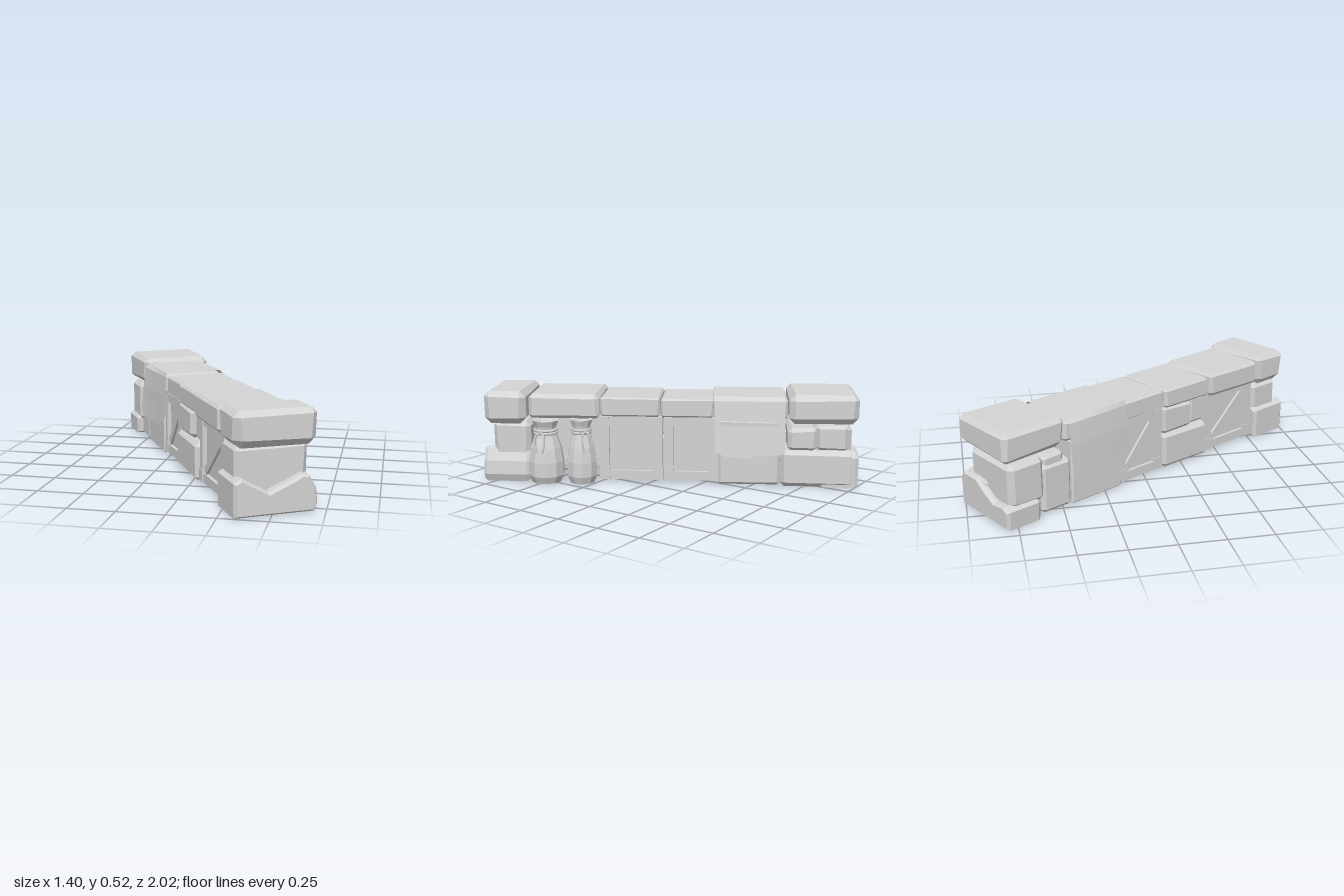
import * as THREE from 'three';
import { ConvexGeometry } from 'three/addons/geometries/ConvexGeometry.js';

export function createModel() {
  const model = new THREE.Group();
  model.name = 'barricade';
  // The wall runs along its own z axis and stands turned by 30 degrees
  const wall = new THREE.Group();
  wall.name = 'wall';
  wall.rotation.y = Math.PI / 6;
  model.add(wall);

  const stone = new THREE.MeshStandardMaterial({ color: 0xd4d4d4, side: THREE.DoubleSide });
  stone.name = 'pale grey';

  let seed = 7;
  const rand = () => {
    seed = (seed * 16807) % 2147483647;
    return seed / 2147483647 - 0.5;
  };
  const add = (name, geometry, parent = wall) => {
    const mesh = new THREE.Mesh(geometry, stone);
    mesh.name = name;
    parent.add(mesh);
    return mesh;
  };
  const faceted = (geometry) => {
    const g = geometry.index ? geometry.toNonIndexed() : geometry;
    g.computeVertexNormals();
    return g;
  };

  // Hewn block with chamfered, slightly uneven corners
  function block(name, [x0, x1], [y0, y1], [z0, z1], c = 0.02, rough = 0.012) {
    const points = [];
    for (const sx of [0, 1]) for (const sy of [0, 1]) for (const sz of [0, 1]) {
      const corner = [sx ? x1 : x0, sy ? y1 : y0, sz ? z1 : z0];
      const inward = [sx ? -1 : 1, sy ? -1 : 1, sz ? -1 : 1];
      const cut = c + rand() * rough;
      for (let face = 0; face < 3; face++) {
        points.push(new THREE.Vector3(...corner.map((v, i) => v + (i === face ? 0 : inward[i] * cut))));
      }
    }
    return add(name, new ConvexGeometry(points));
  }

  // Coping stones along the top
  block('farCap', [-0.2, 0.222], [0.36, 0.522], [-1.045, -0.665], 0.03, 0.02);
  block('copingUnderCloth', [-0.18, 0.165], [0.37, 0.488], [-0.66, -0.25], 0.015);
  block('copingMiddleFar', [-0.17, 0.17], [0.375, 0.483], [-0.25, 0.045], 0.01);
  block('copingMiddleNear', [-0.188, 0.168], [0.375, 0.487], [0.05, 0.385], 0.01);
  block('copingNear', [-0.208, 0.175], [0.365, 0.502], [0.39, 0.79], 0.02);
  block('nearCap', [-0.21, 0.216], [0.335, 0.52], [0.8, 1.035], 0.035, 0.025);

  // Weathered boulder: an uneven outline across the wall, extruded along it
  function boulder(name, outline, z0, z1) {
    const shape = new THREE.Shape(outline.map(([x, y]) => new THREE.Vector2(x, y)));
    const geometry = new THREE.ExtrudeGeometry(shape, {
      depth: z1 - z0 - 0.036, bevelEnabled: true, bevelSize: 0.012, bevelThickness: 0.018, bevelSegments: 1,
    });
    geometry.translate(0, 0, z0 + 0.018);
    add(name, faceted(geometry));
  }

  // Near end pillar: a boulder with a sagging top and a stone above it
  boulder('nearBoulder', [[-0.2, 0.018], [0.195, 0.018], [0.208, 0.05], [0.2, 0.12], [0.165, 0.18], [0.14, 0.186],
    [0.1, 0.165], [-0.035, 0.108], [-0.145, 0.17], [-0.175, 0.188], [-0.202, 0.17]], 0.785, 1.045);
  block('nearMiddleStone', [-0.19, 0.185], [0.1, 0.345], [0.78, 0.99], 0.025);

  // Far end pillar: a sloping foot with smaller stones above
  boulder('farFootEnd', [[-0.195, 0.018], [0.2, 0.018], [0.205, 0.17], [0.18, 0.195], [0.07, 0.195],
    [0.0, 0.15], [-0.08, 0.108], [-0.17, 0.118], [-0.198, 0.1]], -1.05, -0.84);
  block('farFootBack', [0.0, 0.218], [0.005, 0.21], [-1.03, -0.62], 0.025);
  block('farEndStone', [-0.195, 0.165], [0.1, 0.345], [-1.015, -0.8], 0.025);
  block('farInnerStone', [-0.17, 0.0], [0.02, 0.33], [-0.8, -0.66], 0.02);
  block('farBackStoneA', [0.0, 0.185], [0.205, 0.345], [-0.99, -0.82], 0.02);
  block('farBackStoneB', [0.0, 0.2], [0.205, 0.335], [-0.82, -0.66], 0.02);
  block('farPlinth', [-0.183, -0.01], [0.01, 0.28], [-0.81, -0.62], 0.015);

  // Stones inside the wall; the stack only faces the front
  block('stoneUnderCloth', [-0.185, 0.2], [0.01, 0.375], [-0.62, -0.28], 0.012);
  block('stackLower', [-0.195, -0.08], [0.015, 0.22], [0.035, 0.385], 0.018);
  block('stackUpperFar', [-0.185, -0.08], [0.22, 0.38], [0.04, 0.27], 0.018);
  block('stackUpperNear', [-0.16, -0.08], [0.22, 0.38], [0.27, 0.385], 0.018);

  // Framed panel with a diagonal brace, framed inside too; side is +1 or -1 along x
  function panel(name, side, z0, z1) {
    const group = new THREE.Group();
    group.name = name;
    wall.add(group);
    const y0 = 0.02, y1 = 0.38, w = 0.05, zc = (z0 + z1) / 2;
    const piece = (part, x, t, h, d, y, z) => {
      const mesh = add(part, new THREE.BoxGeometry(t, h, d), group);
      mesh.position.set(side * x, y, z);
      return mesh;
    };
    piece('board', 0.143, 0.016, y1 - y0, z1 - z0, (y0 + y1) / 2, zc);
    for (const y of [y0 + w / 2, y1 - w / 2]) piece('rail', 0.145, 0.05, w, z1 - z0, y, zc);
    for (const z of [z0 + w / 2, z1 - w / 2]) {
      piece('post', 0.146, 0.056, y1 - y0, w, (y0 + y1) / 2, z);
      piece('cornerPlate', 0.16, 0.036, 0.07, w + 0.006, y0 + 0.035, z);
    }
    const dz = z1 - z0 - 2 * w, dy = y1 - y0 - 2 * w;
    const brace = piece('brace', 0.144, 0.042, 0.04, Math.hypot(dz, dy) - 0.03, (y0 + y1) / 2, zc);
    brace.rotation.x = side * Math.atan2(dy, dz);
  }
  panel('backPanelNear', 1, 0.035, 0.385);
  panel('backPanelFar', 1, -0.28, 0.025);
  panel('frontPanelFar', -1, -0.29, 0.03);
  panel('frontPanelNear', -1, 0.39, 0.78);

  // Cloth draped over the coping, with a ragged hem on both sides
  const hemFront = [0.2, 0.18, 0.16, 0.175, 0.165, 0.17, 0.2, 0.235];
  const hemBack = [0.19, 0.185, 0.18, 0.18, 0.16, 0.175, 0.17, 0.2];
  const rows = hemFront.length, vertices = [], faces = [];
  for (let i = 0; i < rows; i++) {
    const t = i / (rows - 1);
    const section = [
      [-0.23 + t * 0.038, hemFront[i]], [-0.215 + t * 0.025, 0.36], [-0.2 + t * 0.018, 0.475], [-0.175, 0.498],
      [0.155, 0.5], [0.18, 0.478], [0.198, 0.36], [0.222, hemBack[i]],
    ];
    section.forEach(([x, y], j) => vertices.push(x, y, -0.645 + t * (0.415 - j * 0.005)));
    if (i) for (let j = 0; j < 7; j++) {
      const a = (i - 1) * 8 + j, b = a + 8;
      faces.push(a, b, a + 1, b, b + 1, a + 1);
    }
  }
  const cloth = new THREE.BufferGeometry();
  cloth.setAttribute('position', new THREE.Float32BufferAttribute(vertices, 3));
  cloth.setIndex(faces);
  add('cloth', faceted(cloth));

  // Tied sacks leaning against the back
  const profile = [[0, 0.01], [0.078, 0.01], [0.095, 0.05], [0.095, 0.13], [0.082, 0.21], [0.062, 0.27],
    [0.054, 0.3], [0.06, 0.33], [0.072, 0.362], [0.055, 0.358], [0.03, 0.32], [0, 0.315]]
    .map(([x, y]) => new THREE.Vector2(x, y));
  function sack(name, x, z, turn, width, height) {
    const group = new THREE.Group();
    group.name = name;
    group.position.set(x, 0, z);
    group.rotation.y = turn;
    group.scale.set(width, height, width);
    wall.add(group);
    add('bag', faceted(new THREE.LatheGeometry(profile, 10)), group);
    for (const y of [0.292, 0.308]) {
      const rope = add('rope', new THREE.TorusGeometry(0.058, 0.009, 6, 14), group);
      rope.rotation.x = Math.PI / 2;
      rope.position.y = y;
    }
    for (const s of [-1, 1]) {
      const path = new THREE.CatmullRomCurve3([
        new THREE.Vector3(0.06, 0.3, 0), new THREE.Vector3(0.08, 0.29, s * 0.02),
        new THREE.Vector3(0.086, 0.24, s * 0.025), new THREE.Vector3(0.093, 0.19, s * 0.015),
      ]);
      add('ropeEnd', new THREE.TubeGeometry(path, 8, 0.006, 5), group);
    }
  }
  sack('sackNear', 0.19, 0.69, -0.2, 1.07, 1);
  sack('sackFar', 0.195, 0.487, 0.5, 0.9, 1.02);

  return model;
}
